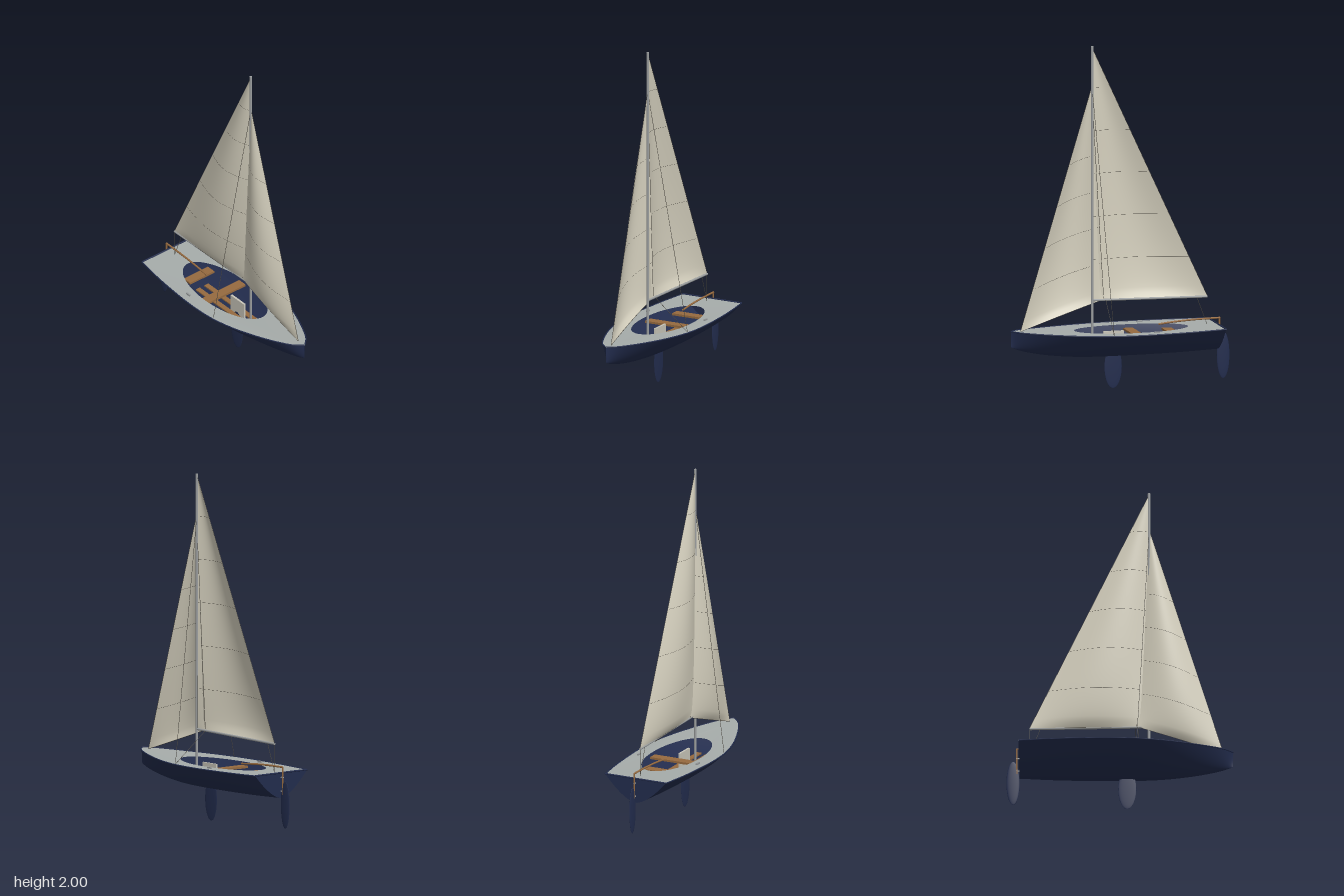
import * as THREE from 'three';

const V = (x, y, z = 0) => new THREE.Vector3(x, y, z);

function material(name, color, double = false) {
  const m = new THREE.MeshStandardMaterial({ color });
  m.name = name;
  if (double) m.side = THREE.DoubleSide;
  return m;
}

// Surface from a rule f(u, v) -> Vector3
function grid(nu, nv, f) {
  const pos = [], idx = [];
  for (let i = 0; i <= nu; i++)
    for (let j = 0; j <= nv; j++) {
      pos.push(...f(i / nu, j / nv).toArray());
      if (i < nu && j < nv) {
        const a = i * (nv + 1) + j, b = a + nv + 1;
        idx.push(a, b, a + 1, b, b + 1, a + 1);
      }
    }
  const g = new THREE.BufferGeometry();
  g.setAttribute('position', new THREE.Float32BufferAttribute(pos, 3));
  g.setIndex(idx);
  g.computeVertexNormals();
  return g;
}

export function createModel() {
  const model = new THREE.Group();
  model.name = 'sailingDinghy';
  const navy = material('navyPaint', 0x222c4d, true);
  const deckGrey = material('deckGrey', 0xa6acaa, true);
  const canvas = material('sailCanvas', 0xd6d1bf, true);
  const wood = material('wood', 0x966a3f);
  const alloy = material('alloy', 0x9a9d9e);
  const rope = material('rope', 0x4c4840);
  const caseGrey = material('caseCream', 0xc9c6ba);

  const add = (name, geometry, mat, x = 0, y = 0, z = 0) => {
    const mesh = new THREE.Mesh(geometry, mat);
    mesh.name = name;
    mesh.position.set(x, y, z);
    model.add(mesh);
    return mesh;
  };
  const box = (name, mat, w, h, d, x, y, z) => add(name, new THREE.BoxGeometry(w, h, d), mat, x, y, z);
  const tube = (name, mat, r, points, segs = 40, sides = 8) =>
    add(name, new THREE.TubeGeometry(new THREE.CatmullRomCurve3(points), segs, r, sides), mat);
  const rod = (name, mat, r, a, b, sides = 8) => {
    const m = add(name, new THREE.CylinderGeometry(r, r, a.distanceTo(b), sides), mat);
    m.position.copy(a).lerp(b, 0.5);
    m.quaternion.setFromUnitVectors(V(0, 1), b.clone().sub(a).normalize());
    return m;
  };

  // Hull stations: x, keel height, half beam
  const stations = new THREE.CatmullRomCurve3([
    V(-0.58, 0.2, 0.195), V(-0.4, 0.193, 0.22), V(-0.2, 0.189, 0.236), V(-0.05, 0.188, 0.24),
    V(0.1, 0.188, 0.23), V(0.25, 0.192, 0.198), V(0.4, 0.206, 0.147), V(0.52, 0.226, 0.095),
    V(0.6, 0.246, 0.05), V(0.648, 0.265, 0.002),
  ]);
  const sheer = x => 0.341 + (x > 0 ? 0.04 : 0.012) * x * x;
  const section = (p, s) =>
    V(p.x, p.y + (sheer(p.x) - p.y) * Math.pow(Math.abs(s), 1.6), p.z * s);
  add('hull', grid(60, 32, (u, v) => section(stations.getPoint(u), 2 * v - 1)), navy);
  const stern = stations.getPoint(0);
  add('transom', grid(1, 32, (u, v) => {
    const p = section(stern, 2 * v - 1);
    if (u === 1) p.y = sheer(p.x);
    return p;
  }), navy);

  // Deck with an oval cockpit opening
  const edge = [];
  for (let i = 0; i <= 60; i++) edge.push(stations.getPoint(i / 60));
  const outline = [...edge.map(p => new THREE.Vector2(p.x, p.z)),
    ...edge.slice().reverse().map(p => new THREE.Vector2(p.x, -p.z))];
  const deckShape = new THREE.Shape(outline);
  deckShape.holes.push(new THREE.Path().absellipse(-0.067, 0, 0.337, 0.148, 0, Math.PI * 2));
  const deck = new THREE.ShapeGeometry(deckShape, 48);
  const dp = deck.attributes.position;
  for (let i = 0; i < dp.count; i++) dp.setXYZ(i, dp.getX(i), sheer(dp.getX(i)), -dp.getY(i));
  deck.computeVertexNormals();
  add('deck', deck, deckGrey);

  // Gunwale trim
  for (const s of [1, -1])
    tube(s > 0 ? 'gunwaleLeft' : 'gunwaleRight', navy, 0.004, edge.map(p => V(p.x, sheer(p.x), s * p.z)), 80, 6);
  rod('sternTrim', navy, 0.005, V(-0.58, sheer(0.58) - 0.008, -0.195), V(-0.58, sheer(0.58) - 0.008, 0.195));

  // Cockpit fittings
  box('aftThwart', wood, 0.057, 0.012, 0.18, -0.302, 0.315, 0);
  box('middleThwart', wood, 0.057, 0.012, 0.292, -0.088, 0.315, 0);
  for (const s of [1, -1]) {
    box('floorBoard', wood, 0.55, 0.008, 0.03, 0, 0.25, s * 0.031);
    box('deckCleat', alloy, 0.032, 0.01, 0.01, -0.17, 0.347, s * 0.19);
  }
  box('centreboardCase', caseGrey, 0.12, 0.12, 0.012, 0.04, 0.275, -0.008);

  // Centreboard and rudder blades
  const blade = (name, x, y, rx, ry, rz) =>
    add(name, new THREE.SphereGeometry(1, 32, 20), navy, x, y, 0).scale.set(rx, ry, rz);
  blade('centreboard', 0.04, 0.125, 0.052, 0.125, 0.004);
  blade('rudderBlade', -0.616, 0.163, 0.038, 0.137, 0.006);
  rod('rudderStock', wood, 0.005, V(-0.594, 0.22), V(-0.594, 0.382));
  for (const y of [0.24, 0.32]) box('rudderHinge', alloy, 0.024, 0.006, 0.008, -0.587, y, 0);
  tube('tiller', wood, 0.0055, [V(-0.597, 0.38), V(-0.45, 0.377), V(-0.33, 0.37), V(-0.23, 0.36)], 24);

  // Spars
  rod('mast', alloy, 0.0075, V(0.165, 0.2), V(0.165, 2), 16);
  rod('boom', alloy, 0.0065, V(-0.522, 0.507), V(0.165, 0.518), 12);

  // Sails: triangular surfaces with belly towards the left side
  function sail(name, tack, clew, head, belly, seams) {
    const at = (u, v) => {
      const p = tack.clone().lerp(clew, u).lerp(head, v);
      p.z += belly * Math.sin(Math.PI * u) * Math.sqrt(v) * Math.pow(1 - v, 1.2) * 2.8;
      p.z += 0.006 * Math.sin(Math.PI * u) * (1 - v);
      return p;
    };
    const line = f => Array.from({ length: 17 }, (_, i) => f(i / 16));
    add(name, grid(24, 48, (u, v) => at(u, v * 0.998)), canvas);
    tube(name + 'Luff', rope, 0.0014, line(t => at(0, t)), 32, 5);
    tube(name + 'Leech', rope, 0.0014, line(t => at(1, t)), 32, 5);
    tube(name + 'Foot', rope, 0.0014, line(t => at(t, 0)), 32, 5);
    for (const v of seams) tube(name + 'Seam', rope, 0.0007, line(t => at(t, v)), 24, 4);
  }
  sail('mainsail', V(0.157, 0.518), V(-0.522, 0.51), V(0.165, 1.99), 0.048, [0.16, 0.33, 0.5, 0.67, 0.84]);
  sail('jib', V(0.592, 0.355), V(0.095, 0.52, 0.004), V(0.168, 1.76), 0.046, [0.17, 0.34, 0.51, 0.68]);

  // Standing and running rigging
  for (const s of [1, -1])
    rod(s > 0 ? 'shroudLeft' : 'shroudRight', rope, 0.0014, V(0.165, 1.76), V(0.095, 0.343, s * 0.222), 5);
  rod('jibSheet', rope, 0.0014, V(0.085, 0.52), V(0.095, 0.343, -0.222), 5);
  rod('mainsheetAft', rope, 0.0014, V(-0.52, 0.507), V(-0.52, 0.345), 5);
  rod('mainsheetFore', rope, 0.0014, V(-0.46, 0.505), V(-0.52, 0.345), 5);

  return model;
}
